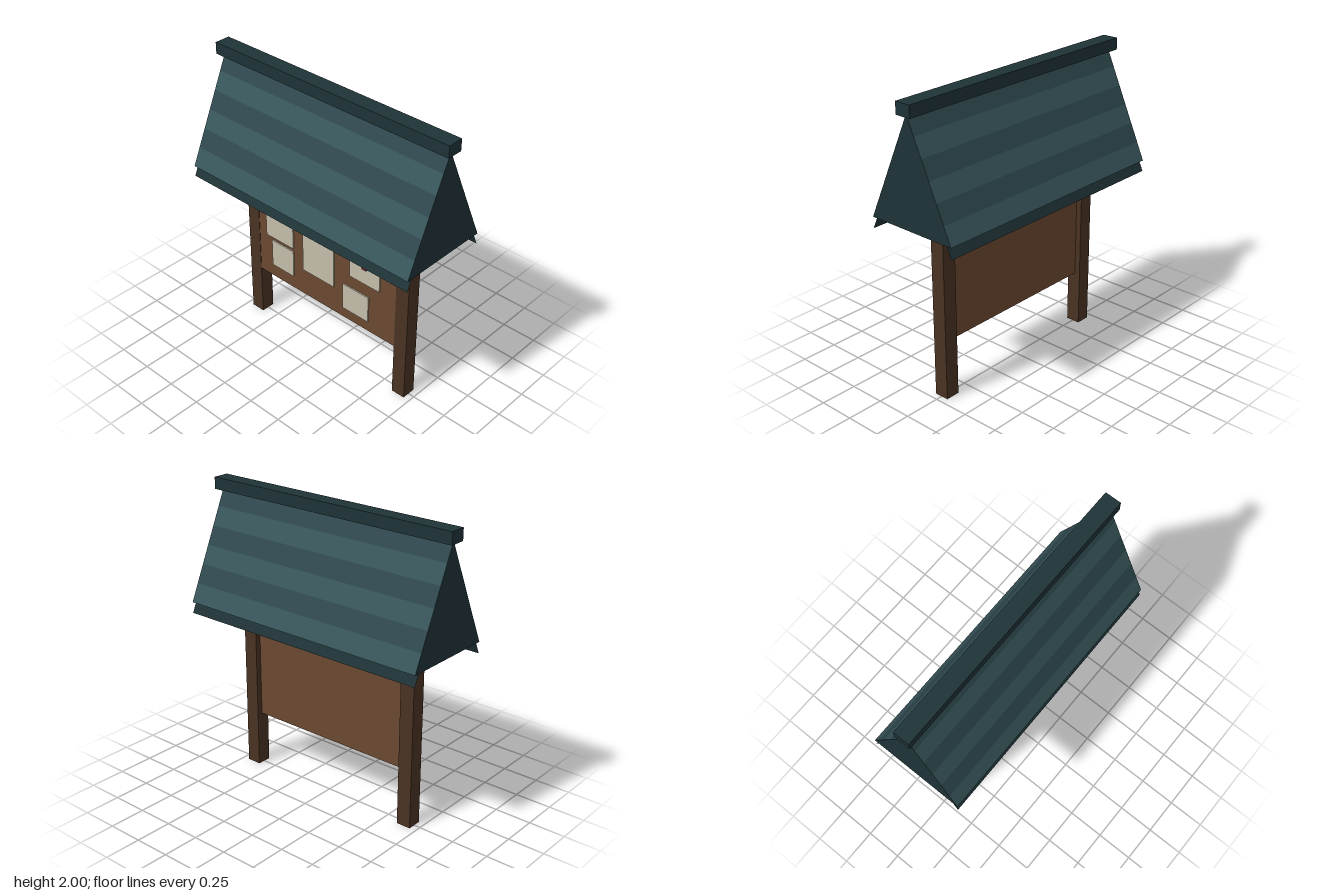
import * as THREE from 'three';

const material = (color, side = THREE.FrontSide) =>
  new THREE.MeshStandardMaterial({ color, side, flatShading: true });

export function createModel() {
  const model = new THREE.Group();
  model.name = 'noticeBoard';

  const post = material(0x4a3323);
  const board = material(0x6b4930);
  const paper = material(0xc4bda9);
  const red = material(0x7d1f26);
  const trim = material(0x1f3337, THREE.DoubleSide);
  const shingles = [material(0x38565b, THREE.DoubleSide), material(0x2e484e, THREE.DoubleSide)];

  const add = (name, geometry, mat, x = 0, y = 0, z = 0, parent = model) => {
    const mesh = new THREE.Mesh(geometry, mat);
    mesh.name = name;
    mesh.position.set(x, y, z);
    parent.add(mesh);
    return mesh;
  };

  // Box given by its edges
  const box = (name, mat, x0, x1, y0, y1, z0, z1) =>
    add(name, new THREE.BoxGeometry(x1 - x0, y1 - y0, z1 - z0), mat,
      (x0 + x1) / 2, (y0 + y1) / 2, (z0 + z1) / 2);

  // Posts and back panel
  box('leftPost', post, 0.605, 0.705, 0, 1.22, -0.05, 0.05);
  box('rightPost', post, -0.705, -0.605, 0, 1.22, -0.05, 0.05);
  box('panel', board, -0.605, 0.605, 0.38, 1.17, -0.01, 0.047);

  // Pinned notices: x0, x1, y0, y1
  const notices = [
    [-0.53, -0.28, 0.71, 1.01],
    [-0.48, -0.28, 0.48, 0.685],
    [-0.19, 0.085, 0.585, 0.935],
    [0.225, 0.475, 0.75, 1.025],
    [0.165, 0.385, 0.46, 0.655],
  ];
  for (const n of notices) box('notice', paper, ...n, 0.045, 0.056);
  box('redPin', red, 0.333, 0.37, 0.867, 0.912, 0.05, 0.067);

  // Hollow roof
  const roof = new THREE.Group();
  roof.name = 'roof';
  model.add(roof);
  const halfLength = 0.907, halfDepth = 0.326, eaveY = 1.215, apexY = 1.93;
  const rise = apexY - eaveY;
  const slope = Math.hypot(halfDepth, rise);
  const tilt = Math.atan2(halfDepth, rise);

  // A sheet on one side of the roof, between fractions a and b from eave to apex
  const sheet = (name, mat, side, a, b, drop = 0) => {
    const mid = (a + b) / 2;
    const mesh = add(name, new THREE.PlaneGeometry(halfLength * 2, slope * (b - a)), mat,
      0, eaveY + rise * mid - drop, side * halfDepth * (1 - mid), roof);
    mesh.rotation.order = 'YXZ';
    mesh.rotation.set(-tilt, side > 0 ? 0 : Math.PI, 0);
  };

  const rows = 6;
  for (const side of [1, -1]) {
    for (let i = 0; i < rows; i++) {
      sheet('shingleRow', shingles[i % 2], side, i / rows, (i + 1) / rows);
    }
    sheet('roofLining', trim, side, 0, 1, 0.075);
  }

  // Triangular gable ends
  const triangle = new THREE.Shape([
    new THREE.Vector2(-halfDepth, eaveY),
    new THREE.Vector2(halfDepth, eaveY),
    new THREE.Vector2(0, apexY),
  ]);
  for (const side of [1, -1]) {
    const gable = add('gable', new THREE.ShapeGeometry(triangle), trim, side * halfLength, 0, 0, roof);
    gable.rotation.y = side * Math.PI / 2;
  }

  // Ridge cap
  box('ridgeCap', trim, -0.933, 0.933, 1.92, 2, -0.055, 0.055);

  return model;
}
